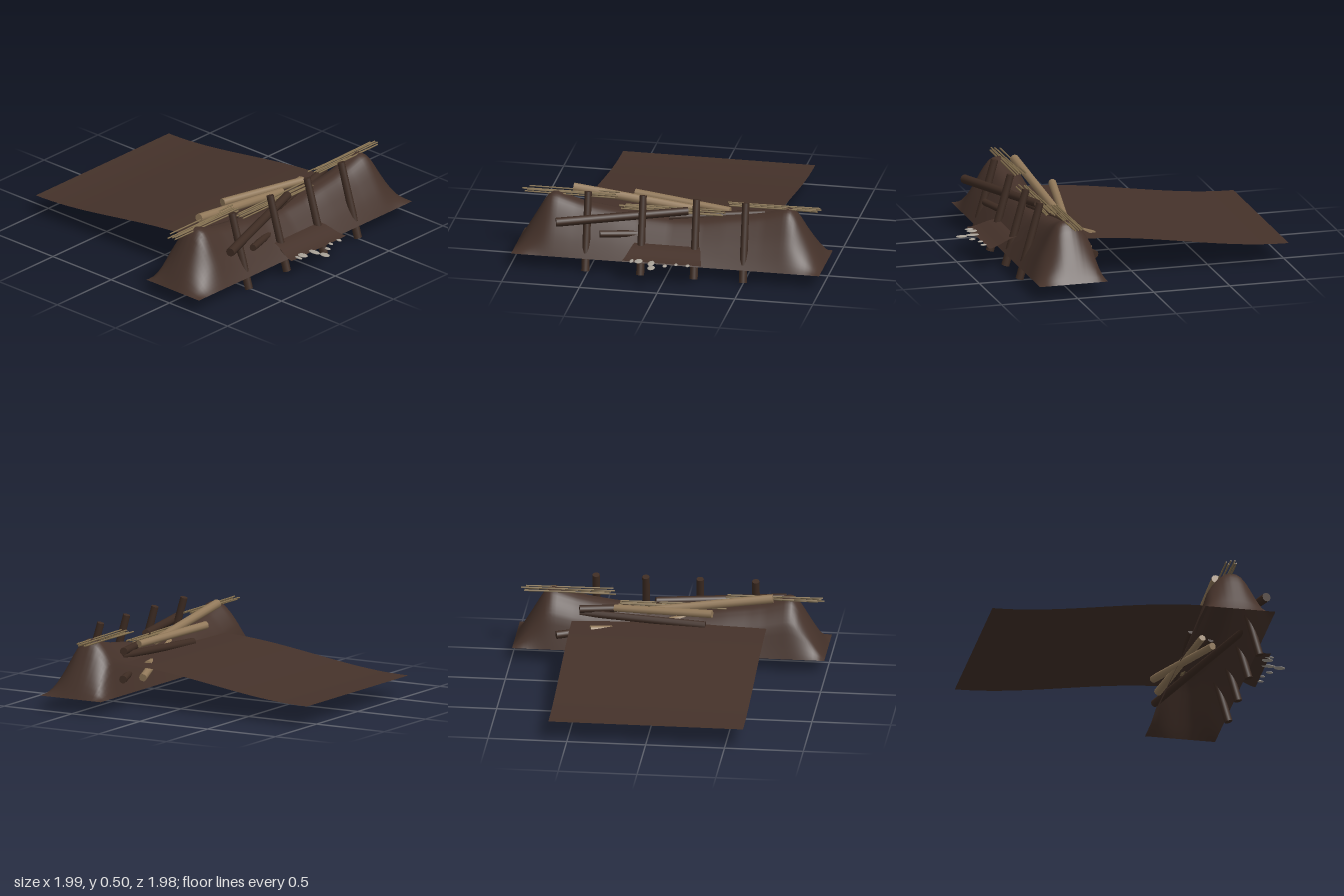
import * as THREE from 'three';

const mat = (name, color, side = THREE.FrontSide) => {
  const m = new THREE.MeshStandardMaterial({ color, side });
  m.name = name;
  return m;
};

// Linear interpolation through [position, value] pairs
function lookup(table, t) {
  for (let i = 1; i < table.length; i++) {
    const [a, va] = table[i - 1], [b, vb] = table[i];
    if (t <= b) return va + (vb - va) * Math.max(0, (t - a) / (b - a));
  }
  return table[table.length - 1][1];
}

// Grid of quads shaped by a rule (u, v) -> [x, y, z]
function sheet(nu, nv, rule) {
  const g = new THREE.PlaneGeometry(1, 1, nu, nv);
  const p = g.attributes.position, uv = g.attributes.uv;
  for (let i = 0; i < p.count; i++) p.setXYZ(i, ...rule(uv.getX(i), 1 - uv.getY(i)));
  g.computeVertexNormals();
  return g;
}

export function createModel() {
  const model = new THREE.Group();
  const mud = mat('mud', 0x45322a, THREE.DoubleSide);
  const darkWood = mat('darkWood', 0x3e2c23);
  const paleWood = mat('paleWood', 0x92795a);
  const twigWood = mat('twigWood', 0x84704f);
  const stone = mat('stone', 0xa9a298);

  const add = (name, geometry, material, parent = model) => {
    const mesh = new THREE.Mesh(geometry, material);
    mesh.name = name;
    parent.add(mesh);
    return mesh;
  };
  const rod = (name, a, b, r, material, parent = model, sides = 10) => {
    const start = new THREE.Vector3(...a), end = new THREE.Vector3(...b);
    const dir = end.clone().sub(start);
    const mesh = add(name, new THREE.CylinderGeometry(r * 0.9, r, dir.length(), sides), material, parent);
    mesh.position.copy(start).add(end).multiplyScalar(0.5);
    mesh.quaternion.setFromUnitVectors(new THREE.Vector3(0, 1, 0), dir.normalize());
    return mesh;
  };

  // Hollow mound: bell section, lower in the middle, sloping ends
  const section = [[0, 0], [0.06, 0.28], [0.12, 0.56], [0.18, 0.7], [0.25, 0.82], [0.34, 0.94], [0.43, 1],
    [0.53, 0.99], [0.6, 0.94], [0.66, 0.84], [0.72, 0.71], [0.86, 0.37], [1, 0]];
  const ridge = [[0, 0.23], [0.2, 0.24], [0.35, 0.265], [0.5, 0.285], [0.6, 0.305], [0.68, 0.33], [0.74, 0.35],
    [0.78, 0.345], [0.82, 0.29], [0.97, 0.03], [0.99, 0]];
  add('mound', sheet(32, 80, (u, v) => {
    const z = (v - 0.5) * 1.98;
    return [0.295 + 0.45 * u, 0.1 + lookup(section, u) * lookup(ridge, Math.abs(z)), z];
  }), mud);

  // Broad sheet sloping away from the mound, and the small apron opposite
  add('bankSheet', sheet(32, 1, (u, v) => [
    -1 + 1.39 * u, 0.14 + 0.14 * THREE.MathUtils.smoothstep(u, 0, 1), (v - 0.5) * 1.235]), mud);
  add('apron', sheet(12, 1, (u, v) => [
    0.67 + 0.19 * u, 0.205 - 0.05 * THREE.MathUtils.smoothstep(u, 0, 1), (v - 0.5) * (0.42 + 0.09 * u)]), mud);

  // Leaning stakes
  for (const z of [0.515, 0.162, -0.182, -0.498])
    rod('stake', [0.735, 0.015, z], [0.597, 0.5, z + 0.008], 0.026, darkWood);

  // Logs laid across the mound
  const darkLogs = [
    [[0.745, 0.335, 0.7], [0.5, 0.378, -0.1], 0.029],
    [[0.38, 0.35, -0.57], [0.52, 0.335, 0.02], 0.025],
    [[0.355, 0.285, 0.23], [0.4, 0.32, -0.57], 0.026],
    [[0.3, 0.2, -0.71], [0.69, 0.255, 0.43], 0.025],
  ];
  darkLogs.forEach(([a, b, r]) => rod('darkLog', a, b, r, darkWood));
  const paleLogs = [
    [[0.43, 0.455, 0.65], [0.4, 0.35, -0.15], 0.029],
    [[0.29, 0.39, 0.28], [0.4, 0.36, -0.35], 0.026],
    [[0.25, 0.265, -0.49], [0.5, 0.21, 0.18], 0.026],
    [[0.28, 0.18, -0.5], [0.45, 0.3, 0.1], 0.025],
  ];
  paleLogs.forEach(([a, b, r]) => rod('paleLog', a, b, r, paleWood));

  // Three bundles of thin twigs along the ridge
  const bundles = [[0.35, 0.98, 0.44], [-0.34, 0.36, 0.37], [-0.96, -0.34, 0.44]];
  bundles.forEach(([z0, z1, y], k) => {
    const bundle = new THREE.Group();
    bundle.name = 'twigBundle';
    model.add(bundle);
    for (let i = 0; i < 6; i++) {
      const x = 0.442 + i * 0.013, s = Math.sin(i * 2.4 + k);
      const h = y + 0.007 * Math.cos(i * 1.9 + k);
      rod('twig', [x, h, z0 + 0.035 * Math.abs(s)], [x + 0.012 * s, h, z1 - 0.05 * Math.abs(Math.cos(i * 1.7))],
        0.0055, twigWood, bundle, 6);
    }
  });

  // Flat pebbles at the apron's edge: x, z, half sizes
  const pebbles = [
    [0.875, -0.17, 0.02, 0.013], [0.873, -0.095, 0.018, 0.011], [0.907, -0.03, 0.023, 0.014],
    [0.955, 0.048, 0.037, 0.024], [0.88, 0.063, 0.045, 0.021], [0.858, 0.148, 0.036, 0.026],
    [0.863, 0.192, 0.03, 0.012],
  ];
  for (const [x, z, rx, rz] of pebbles) {
    const pebble = add('pebble', new THREE.SphereGeometry(1, 14, 8), stone);
    pebble.position.set(x, 0.158, z);
    pebble.scale.set(rx, 0.006, rz);
  }
  return model;
}
